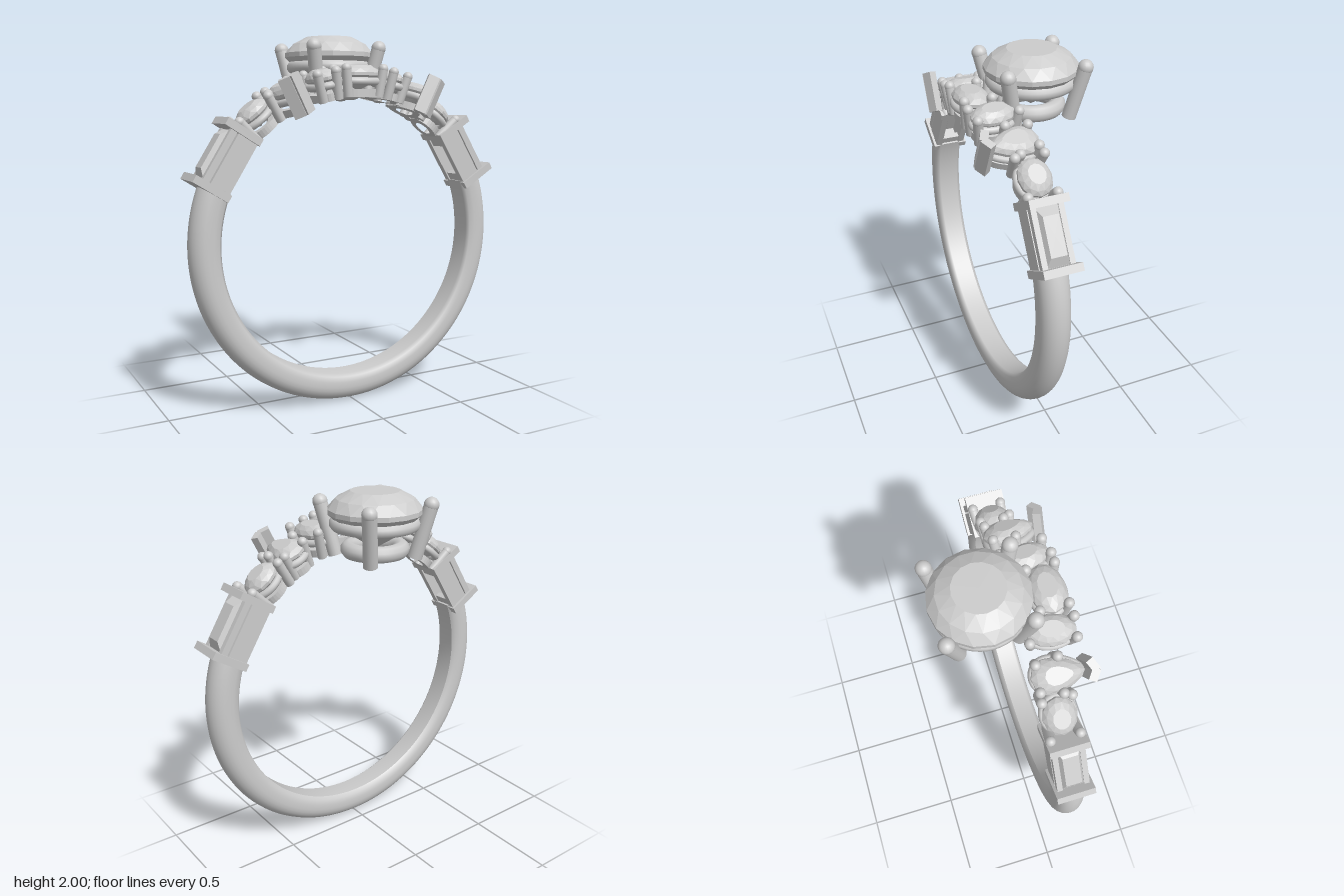
import * as THREE from 'three';

const metal = new THREE.MeshStandardMaterial({ color: 0xcccccc });
const faceted = new THREE.MeshStandardMaterial({ color: 0xcccccc, flatShading: true });
const CENTRE_Y = 0.91, BAND_Z = 0.12;
const rad = THREE.MathUtils.degToRad;

function add(parent, name, geometry, material = metal, x = 0, y = 0, z = 0) {
  const mesh = new THREE.Mesh(geometry, material);
  mesh.name = name;
  mesh.position.set(x, y, z);
  parent.add(mesh);
  return mesh;
}

function group(parent, name) {
  const g = new THREE.Group();
  g.name = name;
  parent.add(g);
  return g;
}

// Stone outline in the xz plane: an ellipse, narrowed towards +z for a pear
const outline = (a, b, taper = 0) => (t) =>
  [a * Math.cos(t) * (1 - taper * Math.sin(t)), b * Math.sin(t)];

// Faceted stone: rings of [scale, y] from table to culet, turned half a step at each level
function gemGeometry(shape, crown, depth, n, girdle = 0.01) {
  const levels = [[0, crown, 0], [0.52, crown, 0], [0.82, crown * 0.62, 0.5], [1, girdle, 1],
    [1, -girdle, 1], [0.6, -depth * 0.55, 1.5], [0, -depth, 1.5]];
  const at = ([s, y, shift], i) => {
    const [x, z] = shape(((i + shift) / n) * Math.PI * 2);
    return [x * s, y, z * s];
  };
  const pos = [];
  for (let k = 0; k < levels.length - 1; k++) {
    const A = levels[k], B = levels[k + 1];
    for (let i = 0; i < n; i++) {
      if (A[0] > 0) pos.push(...at(A, i), ...at(A, i + 1), ...at(B, i));
      if (B[0] > 0) pos.push(...at(A, i + 1), ...at(B, i + 1), ...at(B, i));
    }
  }
  const geo = new THREE.BufferGeometry();
  geo.setAttribute('position', new THREE.Float32BufferAttribute(pos, 3));
  geo.computeVertexNormals();
  return geo;
}

// Round rail following an outline
function railGeometry(shape, scale, r) {
  const pts = [];
  for (let i = 0; i < 24; i++) {
    const [x, z] = shape((i / 24) * Math.PI * 2);
    pts.push(new THREE.Vector3(x * scale, 0, z * scale));
  }
  return new THREE.TubeGeometry(new THREE.CatmullRomCurve3(pts, true), 48, r, 10, true);
}

// Flat ring plate following an outline, with a hole
function plateGeometry(shape, outer, inner, h) {
  const loop = (s) => Array.from({ length: 32 }, (_, i) => {
    const [x, z] = shape((i / 32) * Math.PI * 2);
    return new THREE.Vector2(x * s, -z * s);
  });
  const plate = new THREE.Shape(loop(outer));
  plate.holes.push(new THREE.Path(loop(inner)));
  return new THREE.ExtrudeGeometry(plate, { depth: h, bevelEnabled: false }).rotateX(-Math.PI / 2);
}

// Claw with a rounded tip
function claw(parent, base, tip, r) {
  const a = new THREE.Vector3(...base), b = new THREE.Vector3(...tip);
  const dir = b.clone().sub(a);
  const stem = add(parent, 'claw', new THREE.CylinderGeometry(r, r, dir.length(), 16));
  stem.position.copy(a).add(b).multiplyScalar(0.5);
  stem.quaternion.setFromUnitVectors(new THREE.Vector3(0, 1, 0), dir.normalize());
  add(parent, 'clawTip', new THREE.SphereGeometry(r * 1.04, 16, 12), metal, ...tip);
}

// Group whose local y points radially outwards at an angle round the ring
function radialGroup(parent, name, angle, z) {
  const g = group(parent, name);
  g.position.set(0, CENTRE_Y, z);
  g.rotation.z = rad(angle - 90);
  return g;
}

// Accent stone with gallery plate, rail and claws
function accent(parent, name, { angle, z, shape, claws, yaw = 0, vClaw = 0 }) {
  const g = group(radialGroup(parent, name, angle, z), name + 'Setting');
  g.rotation.y = yaw;
  add(g, 'stone', gemGeometry(shape, 0.045, 0.085, 12, 0.008), faceted, 0, 0.878, 0);
  add(g, 'upperRail', railGeometry(shape, 0.9, 0.02), metal, 0, 0.84, 0);
  add(g, 'galleryPlate', plateGeometry(shape, 0.9, 0.48, 0.04), metal, 0, 0.76, 0);
  for (const [x, cz] of claws)
    for (const s of [-1, 1]) claw(g, [s * x * 0.82, 0.762, cz * 0.82], [s * x, 0.905, cz], 0.025);
  // Two angled plates wrapping the pointed end
  if (vClaw) for (const s of [-1, 1]) {
    const p = add(g, 'pointClaw', new THREE.BoxGeometry(0.062, 0.21, 0.04), metal, s * 0.023, 0.86, vClaw);
    p.rotation.y = s * 0.5;
  }
}

// Channel-set rectangular stone between two end plates
function shoulder(parent, angle) {
  const g = radialGroup(parent, 'shoulderSetting', angle, 0.113);
  for (const s of [-1, 1]) {
    add(g, 'endPlate', new THREE.BoxGeometry(0.04, 0.212, 0.2), metal, s * 0.162, 0.85, 0);
    add(g, 'channelWall', new THREE.BoxGeometry(0.3, 0.115, 0.035), metal, 0, 0.81, s * 0.068);
    add(g, 'channelRail', new THREE.BoxGeometry(0.3, 0.036, 0.028), metal, 0, 0.894, s * 0.07);
    add(g, 'floorBar', new THREE.BoxGeometry(0.05, 0.03, 0.12), metal, s * 0.12, 0.775, 0);
  }
  // Step-cut stone: square frustums
  const step = (top, bottom, h, y) => {
    const geo = new THREE.CylinderGeometry(top * Math.SQRT2, bottom * Math.SQRT2, h, 4).rotateY(Math.PI / 4);
    add(g, 'stepCutStone', geo.scale(0.142, 1, 0.06), faceted, 0, y, 0);
  };
  step(0.68, 1, 0.035, 0.918);
  step(1, 0.95, 0.03, 0.886);
  step(0.95, 0.4, 0.07, 0.836);
}

export function createModel() {
  const ring = new THREE.Group();
  ring.name = 'ring';

  // Band: domed outside, nearly flat inside, open at the top
  const profile = [[0.755, -0.055], [0.77, -0.073], [0.8, -0.08]];
  for (let i = 0; i <= 12; i++) {
    const t = (i / 12 - 0.5) * Math.PI;
    profile.push([0.83 + 0.08 * Math.cos(t), 0.08 * Math.sin(t)]);
  }
  profile.push([0.8, 0.08], [0.77, 0.073], [0.755, 0.055], [0.755, -0.055]);
  const bandGeo = new THREE.LatheGeometry(profile.map((p) => new THREE.Vector2(...p)), 120, rad(-112), rad(224));
  add(ring, 'band', bandGeo.rotateX(Math.PI / 2), metal, 0, CENTRE_Y, BAND_Z);

  // Shoulders and accent stones, mirrored
  for (const s of [1, -1]) {
    const side = (a) => 90 - s * (90 - a);
    shoulder(ring, side(32));
    accent(ring, 'outerStone', { angle: side(50.5), z: 0.113, shape: outline(0.1, 0.085), claws: [[0.1, 0.075], [0.1, -0.075]] });
    accent(ring, 'pearStone', { angle: side(63.5), z: 0.15, shape: outline(0.082, 0.13, 0.35), yaw: s * 0.08,
      claws: [[0.065, -0.1], [0.088, 0.01]], vClaw: 0.155 });
    accent(ring, 'innerStone', { angle: side(77), z: 0.175, shape: outline(0.078, 0.122), yaw: s * 0.15,
      claws: [[0.05, 0.115], [0.055, -0.11]] });
  }
  accent(ring, 'middleStone', { angle: 90, z: 0.22, shape: outline(0.13, 0.09), claws: [[0.11, 0.072], [0.11, -0.072]] });

  // Large round stone in a four-claw basket
  const head = group(ring, 'mainSetting');
  head.position.z = -0.11;
  const round = outline(0.247, 0.247);
  add(head, 'mainStone', gemGeometry(round, 0.1, 0.2, 16, 0.012), faceted, 0, 1.9, 0);
  add(head, 'upperBasketRing', railGeometry(round, 0.82, 0.035), metal, 0, 1.835, 0);
  add(head, 'lowerBasketRing', railGeometry(round, 0.55, 0.044), metal, 0, 1.7, 0);
  for (const x of [-1, 1])
    for (const z of [-1, 1]) claw(head, [x * 0.145, 1.66, z * 0.15], [x * 0.197, 1.935, z * 0.207], 0.038);

  return ring;
}
